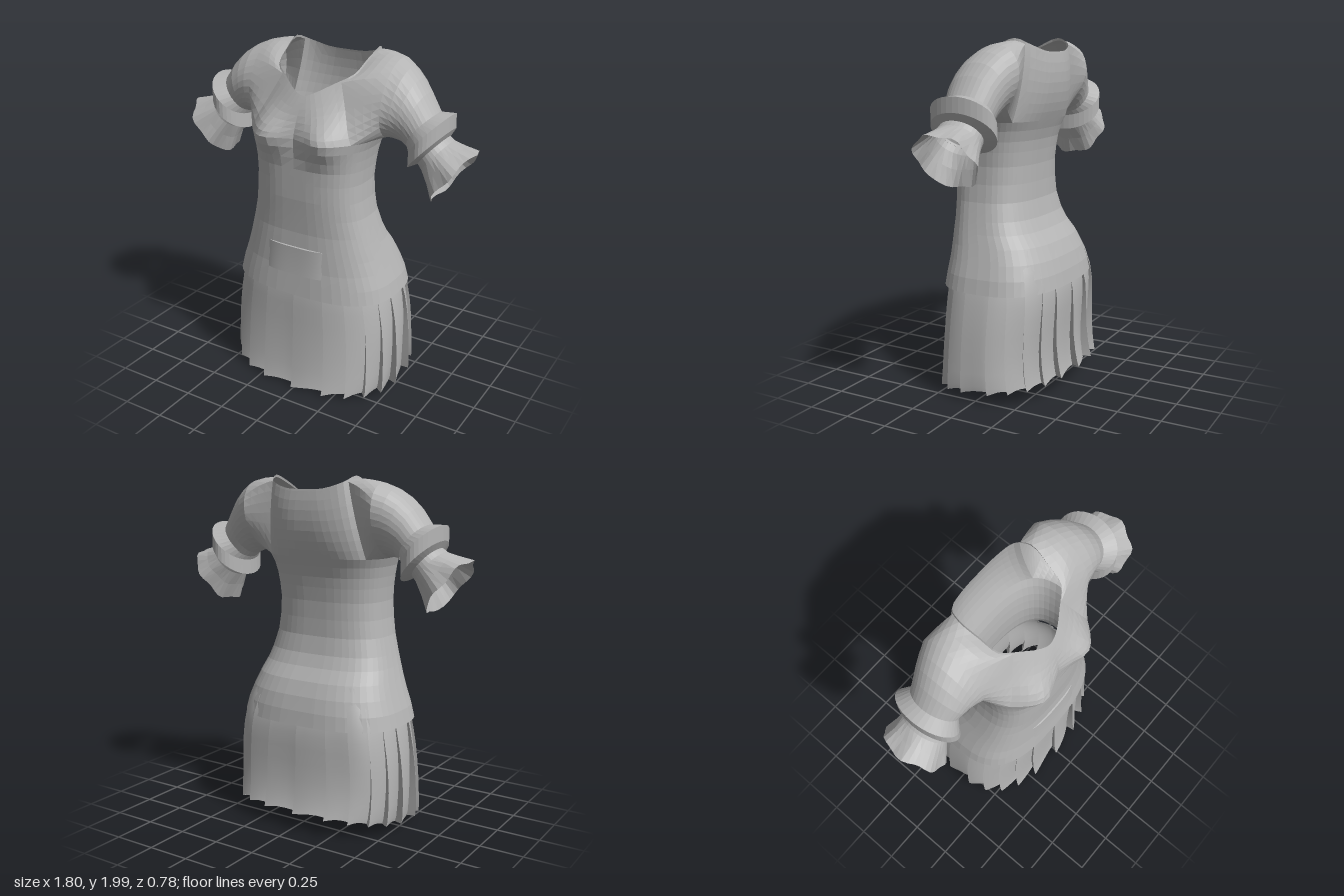
import * as THREE from 'three';
import { toCreasedNormals } from 'three/addons/utils/BufferGeometryUtils.js';

const cloth = new THREE.MeshStandardMaterial({ color: 0xb4b4b4, side: THREE.DoubleSide });
cloth.name = 'grey cloth';

// Skin a list of equally long rings of Vector3; skip(row, column) leaves holes.
function loft(rings, { closed = true, flip = false, skip = () => false } = {}) {
  const n = rings[0].length, pos = [], idx = [];
  rings.forEach(r => r.forEach(p => pos.push(p.x, p.y, p.z)));
  for (let i = 0; i < rings.length - 1; i++) {
    for (let j = 0; j < (closed ? n : n - 1); j++) {
      if (skip(i, j)) continue;
      const a = i * n + j, b = i * n + (j + 1) % n, c = a + n, d = b + n;
      if (flip) idx.push(a, d, b, a, c, d);
      else idx.push(a, b, d, a, d, c);
    }
  }
  const g = new THREE.BufferGeometry();
  g.setAttribute('position', new THREE.Float32BufferAttribute(pos, 3));
  g.setIndex(idx);
  return g;
}

function part(name, geometry, crease) {
  const mesh = new THREE.Mesh(toCreasedNormals(geometry, crease), cloth);
  mesh.name = name;
  return mesh;
}

const spow = (v, e) => Math.sign(v) * Math.pow(Math.abs(v), e);

// Rounded-box outline: angle 0 is the front, then towards +x.
function outline([y, w, zf, zb], t, e, out = 0) {
  const mid = (zf + zb) / 2, d = (zf - zb) / 2;
  return new THREE.Vector3(
    -0.015 + (w + out) * spow(Math.sin(t), e), y, mid + (d + out) * spow(Math.cos(t), e));
}

// y, half width, front z, back z
const BODY = [
  [0.62, 0.505, 0.345, -0.35], [0.70, 0.485, 0.335, -0.335], [0.78, 0.455, 0.325, -0.31],
  [0.86, 0.425, 0.32, -0.27], [0.93, 0.4, 0.315, -0.215], [1.0, 0.378, 0.31, -0.18],
  [1.1, 0.35, 0.312, -0.155], [1.2, 0.335, 0.316, -0.15], [1.3, 0.33, 0.315, -0.15],
  [1.38, 0.336, 0.312, -0.158], [1.44, 0.344, 0.31, -0.167], [1.5, 0.356, 0.308, -0.185],
  [1.55, 0.375, 0.305, -0.205],
];
const E = 0.72;
const N = 48;                 // columns around the body
const CHEST = BODY.length - 1;
const YOKE = [0.12, 0.25, 0.4, 0.55, 0.7, 0.84, 0.97, 1];
const HOLE = 7;               // armhole height in rows
const SIDE = 12, REACH = 5;   // armhole centre column and half width

// Body grid from the hem to the neckline
function bodyRings() {
  const half = [
    [0, 1.77, 0.235], [0.06, 1.79, 0.22], [0.15, 1.84, 0.165], [0.235, 1.89, 0.1],
    [0.255, 1.95, 0], [0.265, 1.998, -0.12], [0.23, 1.965, -0.2], [0.12, 1.93, -0.235],
    [0, 1.925, -0.24],
  ];
  const loop = half.concat(half.slice(1, -1).reverse().map(([x, y, z]) => [-x, y, z]));
  const neck = new THREE.CatmullRomCurve3(loop.map(p => new THREE.Vector3(...p)), true);
  const angle = j => j / N * Math.PI * 2;

  const rings = BODY.map(row => Array.from({ length: N }, (_, j) => outline(row, angle(j), E)));
  const chest = rings[CHEST].map(p => p.clone());
  for (const t of YOKE) {
    rings.push(chest.map((p, j) => {
      const q = p.clone().lerp(neck.getPoint(j / N), t), c = Math.cos(angle(j));
      q.z += c * (c > 0 ? 0.05 : 0.12) * t * (1 - t);
      return q;
    }));
  }
  // Bust
  rings.flat().forEach(p => {
    if (p.z > 0.05) {
      const dx = Math.abs(p.x + 0.01) - 0.18, dy = p.y - 1.55;
      p.z += 0.074 * Math.exp(-dx * dx / 0.014 - dy * dy / 0.011);
    }
  });
  return rings;
}

function createBodice(rings) {
  const inHole = c => c >= SIDE - REACH && c < SIDE + REACH;
  const skip = (i, j) =>
    i >= CHEST && i < CHEST + HOLE && (inHole(j) || inHole(N - 1 - j));
  return part('bodice', loft(rings, { skip }), 0.04);
}

// Armhole edge: from the top centre round the front, the armpit and the back
function armhole(rings, side) {
  const at = (row, col) => rings[CHEST + row][side > 0 ? col : N - col];
  const edge = [], lo = SIDE - REACH, hi = SIDE + REACH;
  for (let c = SIDE; c > lo; c--) edge.push(at(HOLE, c));
  for (let r = HOLE; r > 0; r--) edge.push(at(r, lo));
  for (let c = lo; c < hi; c++) edge.push(at(0, c));
  for (let r = 0; r < HOLE; r++) edge.push(at(r, hi));
  for (let c = hi; c > SIDE; c--) edge.push(at(HOLE, c));
  return edge;
}

// Raised panel across the front of the waist, fading out at its ends
function createFrontPanel() {
  const at = (y, x, out) => {
    let i = 0;
    while (BODY[i + 1][0] < y) i++;
    const k = (y - BODY[i][0]) / (BODY[i + 1][0] - BODY[i][0]);
    const row = BODY[i].map((v, c) => v + (BODY[i + 1][c] - v) * k);
    return outline(row, Math.asin(spow(x / row[1], 1 / E)), E).add(new THREE.Vector3(0, 0, out));
  };
  const rows = [[0.745, 0], [0.748, 0.015], [0.83, 0.013], [0.912, 0.015], [0.915, 0]];
  return part('frontPanel', loft(rows.map(([y, out]) =>
    Array.from({ length: 17 }, (_, j) => {
      const u = j / 8 - 1;
      return at(y, 0.2 * u, out * (1 - u ** 4) - 0.006);
    })), { closed: false }), 0.4);
}

// Knife-pleated skirt whose folds deepen towards the hem
function createSkirt() {
  const rows = [
    [0.045, 0.522, 0.36, -0.37], [0.075, 0.528, 0.354, -0.362], [0.15, 0.53, 0.346, -0.35],
    [0.25, 0.53, 0.34, -0.342], [0.36, 0.526, 0.336, -0.342], [0.46, 0.517, 0.334, -0.343],
    [0.55, 0.503, 0.333, -0.342], [0.64, 0.485, 0.328, -0.33], [0.74, 0.452, 0.31, -0.3],
    [0.85, 0.405, 0.3, -0.25],
  ];
  const pleats = 22, steps = [0, 0.2, 0.45, 0.7, 0.9, 1.08];
  const rings = rows.map(row => {
    const low = Math.max(0, 1 - row[0] / 0.7), ring = [];
    for (let p = 0; p < pleats; p++) {
      for (const f of steps) {
        const t = (p + f) / pleats * Math.PI * 2;
        // Folds push out at the two back corners of the hips
        const hip = 0.032 * Math.exp(-(((Math.abs(t - Math.PI) - 0.72) / 0.3) ** 2)) * (1 - low);
        const v = outline(row, t, 0.78, (0.008 + 0.044 * low) * (0.5 - f) + hip);
        v.y += low * (0.012 - 0.052 * Math.cos(t) + 0.012 * Math.sin(f * Math.PI));
        ring.push(v);
      }
    }
    return ring;
  });
  return part('pleatedSkirt', loft(rings), 0.6);
}

// Oval ring at x, y, z tilted by a; lean shifts its top back, wave ruffles it
const SEG = 2 * (2 * REACH + HOLE);
function sleeveRing(side, [x, y, z, a, ry, rz, lean = 0, wave = 0]) {
  return Array.from({ length: SEG }, (_, j) => {
    const t = j / SEG * Math.PI * 2, w = wave * Math.sin(t * 7);
    const up = Math.cos(t) * (ry + w), along = wave * Math.cos(t * 5);
    return new THREE.Vector3(
      side * (x + Math.sin(a) * up + Math.cos(a) * along),
      y + Math.cos(a) * up - Math.sin(a) * along,
      z + Math.sin(t) * (rz + w) - lean * up);
  });
}

function createSleeve(side, body) {
  const group = new THREE.Group();
  group.name = side > 0 ? 'leftSleeve' : 'rightSleeve';
  const lift = side > 0 ? 0 : 0.035;
  const flip = side < 0;

  // Upper arm, grown out of the armhole
  const arm = [
    [0.415, 1.76, -0.04, 0.02, 0.203, 0.185, 0.28], [0.465, 1.74, -0.037, 0.12, 0.187, 0.174, 0.2],
    [0.508, 1.71, -0.034, 0.235, 0.17, 0.164, 0.12], [0.546, 1.672, -0.03, 0.38, 0.148, 0.154, 0.05],
    [0.59, 1.61, -0.03, 0.66, 0.125, 0.14],
  ];
  const armRings = arm.map((r, i) => {
    const q = r.slice();
    q[1] += lift * i / 4;
    return sleeveRing(side, q);
  });
  const edge = armhole(body, side);
  const shoulder = [0, 0.25, 0.5, 0.75].map(u => edge.map((p, j) => {
    const q = p.clone().lerp(armRings[0][j], u);
    q.y += 0.018 * Math.sin(Math.PI * u) * Math.max(0, Math.cos(j / SEG * Math.PI * 2));
    return q;
  }));
  group.add(part('upperSleeve', loft([...shoulder, ...armRings], { flip }), 0.04));

  // Angular band around the sleeve
  const band = [
    [0.58, 1.622, -0.03, 0.66, 0.115, 0.14], [0.638, 1.602, -0.03, 0.75, 0.152, 0.19],
    [0.638, 1.518, -0.03, 0.75, 0.155, 0.19], [0.655, 1.51, -0.025, 0.72, 0.105, 0.128],
  ];
  // Flared ruffle
  const flare = [
    [0.645, 1.52, -0.025, 0.72, 0.105, 0.128], [0.68, 1.486, -0.022, 0.7, 0.112, 0.133],
    [0.73, 1.44, -0.017, 0.66, 0.142, 0.152, 0, 0.004],
    [0.785, 1.388, -0.014, 0.64, 0.182, 0.178, 0, 0.008],
  ];
  const skin = rows => loft(rows.map(r => {
    const q = r.slice();
    q[1] += lift;
    return sleeveRing(side, q);
  }), { flip });
  group.add(part('cuffBand', skin(band), 0.04), part('cuffRuffle', skin(flare), 0.04));
  return group;
}

export function createModel() {
  const model = new THREE.Group();
  model.name = 'pleatedDress';
  const body = bodyRings();
  model.add(createBodice(body), createFrontPanel(), createSkirt(),
    createSleeve(1, body), createSleeve(-1, body));
  return model;
}
